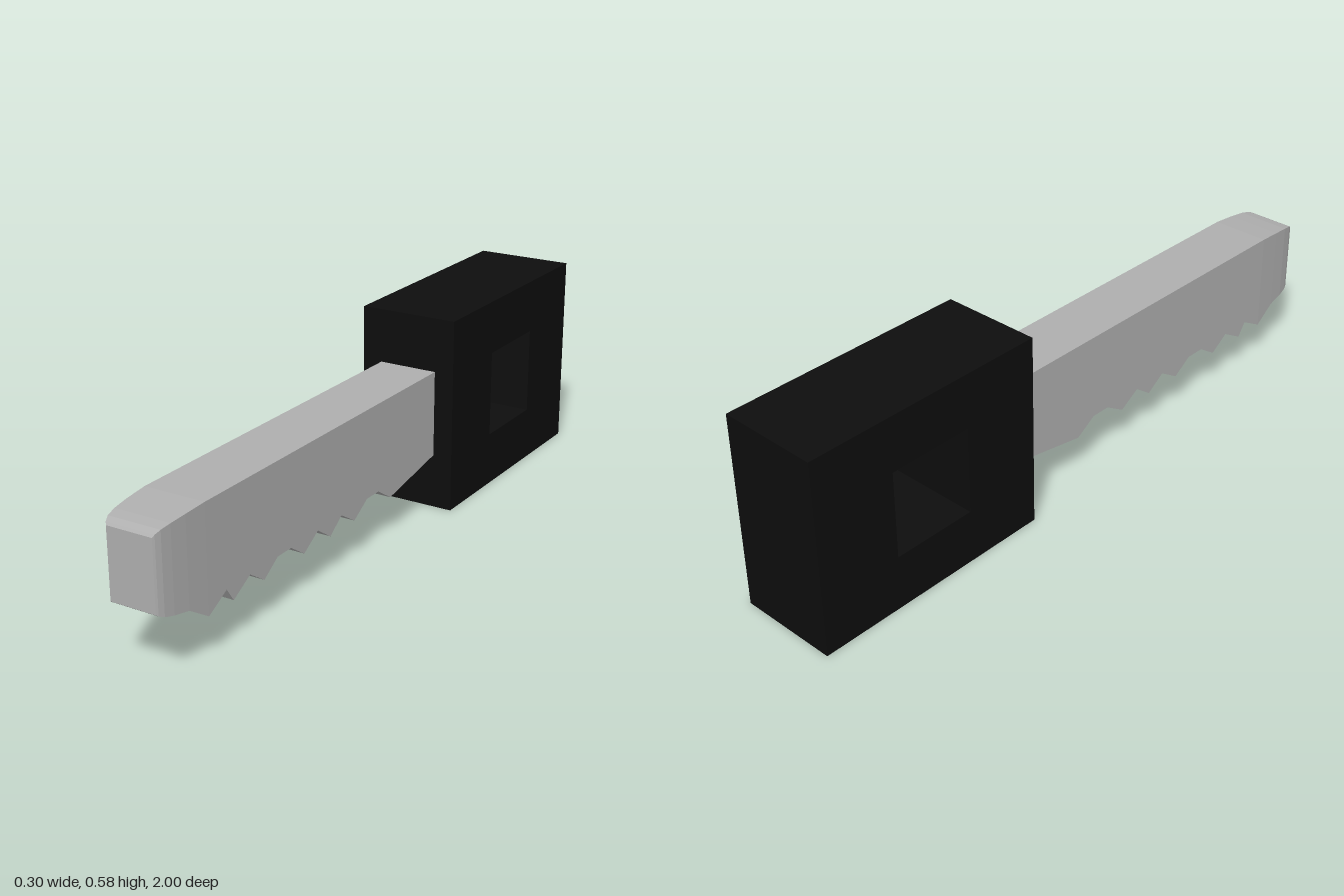
import * as THREE from 'three';

const steel = new THREE.MeshStandardMaterial({ name: 'steel grey', color: 0xaeaeae });
const black = new THREE.MeshStandardMaterial({ name: 'grip black', color: 0x0d0d0d });

// Cut profile from the grip to the tip: [z, y]
const cuts = [
  [-0.3, 0.168], [-0.26, 0.162], [-0.015, 0.119], [0.05, 0.16], [0.11, 0.16], [0.175, 0.12],
  [0.24, 0.16], [0.295, 0.12], [0.355, 0.16], [0.42, 0.12], [0.48, 0.16], [0.54, 0.16],
  [0.6, 0.12], [0.66, 0.16], [0.73, 0.12], [0.757, 0.16], [0.83, 0.12], [0.9, 0.165],
  [0.95, 0.174], [0.98, 0.181], [0.995, 0.188], [1, 0.192],
];
// Rounding of the top edge and the flanks at the tip: [z, top y, half width]
const tip = [
  [-1, 0.418, 0.089], [0.83, 0.418, 0.089], [0.9, 0.413, 0.086], [0.95, 0.408, 0.082],
  [0.98, 0.402, 0.077], [0.995, 0.394, 0.071], [1, 0.387, 0.067],
];

function tipAt(z) {
  const i = Math.max(1, tip.findIndex((p) => p[0] >= z));
  const a = tip[i - 1], b = tip[i];
  const t = (z - a[0]) / (b[0] - a[0]);
  return [THREE.MathUtils.lerp(a[1], b[1], t), THREE.MathUtils.lerp(a[2], b[2], t)];
}

// Loft of rectangular sections along z, with flat faces
function bladeGeometry() {
  const pos = [];
  const quad = (a, b, c, d) => pos.push(...a, ...b, ...c, ...a, ...c, ...d);
  const rings = cuts.map(([z, y]) => {
    const [top, w] = tipAt(z);
    return [[w, top, z], [-w, top, z], [-w, y, z], [w, y, z]];
  });
  for (let i = 0; i < rings.length - 1; i++) {
    for (let j = 0; j < 4; j++) {
      const k = (j + 1) % 4;
      quad(rings[i][j], rings[i][k], rings[i + 1][k], rings[i + 1][j]);
    }
  }
  quad(...rings[rings.length - 1]);
  quad(...[...rings[0]].reverse());
  const g = new THREE.BufferGeometry();
  g.setAttribute('position', new THREE.Float32BufferAttribute(pos, 3));
  g.computeVertexNormals();
  return g;
}

const rectPoints = (x0, y0, x1, y1) =>
  [[x0, y0], [x1, y0], [x1, y1], [x0, y1]].map((p) => new THREE.Vector2(...p));

// Block with a square keyring hole running from side to side
function gripGeometry() {
  const shape = new THREE.Shape(rectPoints(0.26, 0, 1, 0.577));
  shape.holes.push(new THREE.Path(rectPoints(0.5, 0.16, 0.753, 0.418).reverse()));
  const g = new THREE.ExtrudeGeometry(shape, { depth: 0.296, bevelEnabled: false });
  g.translate(0, 0, -0.148);
  g.rotateY(Math.PI / 2); // shape x becomes -z
  return g;
}

export function createModel() {
  const key = new THREE.Group();
  key.name = 'key';
  const blade = new THREE.Mesh(bladeGeometry(), steel);
  blade.name = 'toothedBlade';
  const grip = new THREE.Mesh(gripGeometry(), black);
  grip.name = 'grip';
  key.add(blade, grip);
  return key;
}
